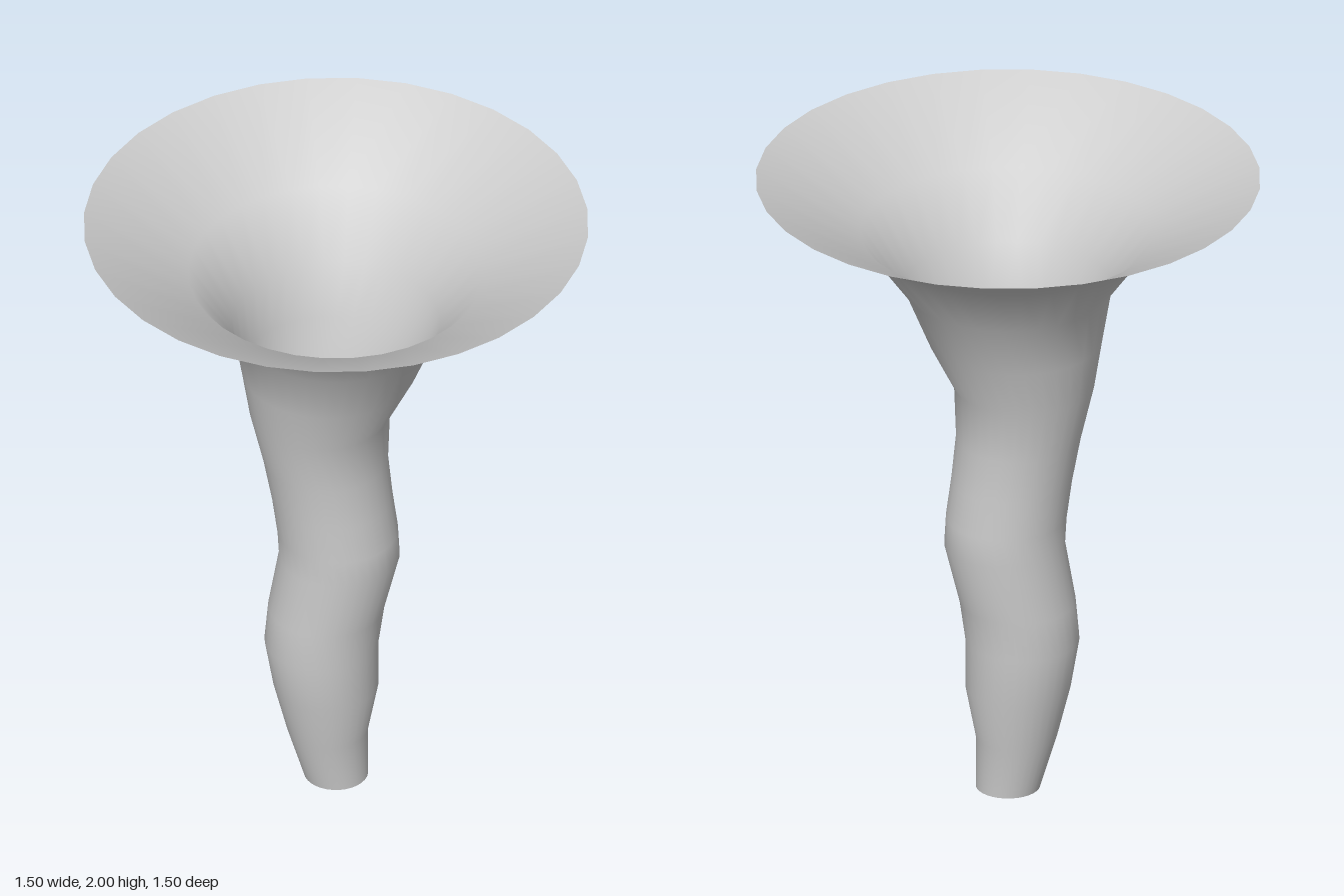
import * as THREE from 'three';
import { mergeVertices } from 'three/addons/utils/BufferGeometryUtils.js';

// Rings from foot to rim: [height, radius, sideways shift of the centre]
const RINGS = [
  [0, 0.096, 0],
  [0.165, 0.121, -0.025],
  [0.33, 0.157, -0.03],
  [0.485, 0.17, -0.043],
  [0.61, 0.173, -0.029],
  [0.8, 0.18, 0.01],
  [0.89, 0.18, 0.005],
  [1.01, 0.18, -0.011],
  [1.15, 0.186, -0.031],
  [1.32, 0.209, -0.048],
  [1.475, 0.26, -0.021],
  [1.645, 0.309, 0],
  [1.827, 0.44, 0],
  [2, 0.752, 0],
];

// Open lathe surface whose rings are shifted along x to make the stem wander
function bentFunnel(rings, sides) {
  const profile = rings.map(([y, r]) => new THREE.Vector2(r, y));
  let geometry = new THREE.LatheGeometry(profile, sides);
  const pos = geometry.attributes.position;
  for (let i = 0; i < pos.count; i++) {
    pos.setX(i, pos.getX(i) + rings[i % rings.length][2]);
  }
  // Weld the seam so the normals run smoothly all round
  geometry.deleteAttribute('uv');
  geometry.deleteAttribute('normal');
  geometry = mergeVertices(geometry, 1e-4);
  geometry.computeVertexNormals();
  return geometry;
}

export function createModel() {
  const group = new THREE.Group();
  group.name = 'funnel';
  const material = new THREE.MeshStandardMaterial({ color: 0xcccccc, side: THREE.DoubleSide });

  // Thin stem and flared mouth in one skin, open at both ends
  const funnel = new THREE.Mesh(bentFunnel(RINGS, 32), material);
  funnel.name = 'stemAndFlaredMouth';
  group.add(funnel);
  return group;
}
